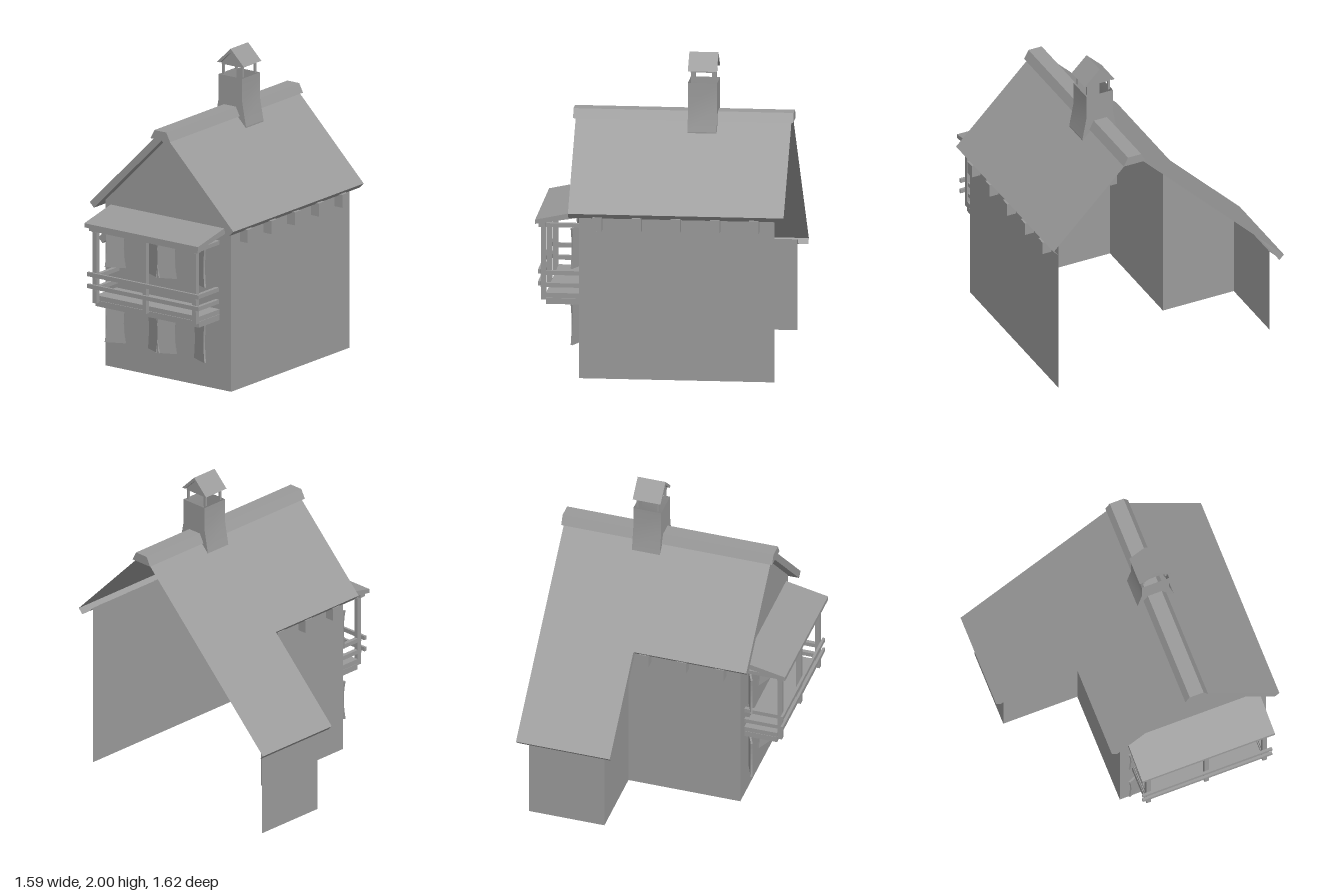
import * as THREE from 'three';

const grey = { color: 0x9a9a9a, side: THREE.DoubleSide };
const flatMat = new THREE.MeshStandardMaterial({ ...grey, flatShading: true });
const smoothMat = new THREE.MeshStandardMaterial(grey);

function add(parent, name, geometry, material = flatMat) {
  const mesh = new THREE.Mesh(geometry, material);
  mesh.name = name;
  parent.add(mesh);
  return mesh;
}

function addGroup(parent, name) {
  const group = new THREE.Group();
  group.name = name;
  parent.add(group);
  return group;
}

// Box given by its limits on each axis
function box(parent, name, x0, x1, y0, y1, z0, z1) {
  const g = new THREE.BoxGeometry(x1 - x0, y1 - y0, z1 - z0);
  g.translate((x0 + x1) / 2, (y0 + y1) / 2, (z0 + z1) / 2);
  return add(parent, name, g);
}

const shapeOf = (pts) => new THREE.Shape(pts.map(([a, b]) => new THREE.Vector2(a, b)));

// Profile of [z, y] points extruded from x0 to x1
function prism(parent, name, pts, x0, x1) {
  const g = new THREE.ExtrudeGeometry(shapeOf(pts), { depth: x1 - x0, bevelEnabled: false });
  g.rotateY(-Math.PI / 2).translate(x1, 0, 0);
  return add(parent, name, g);
}

// Thin face of [z, y] points looking towards -x
function sideFace(parent, name, pts, x) {
  return add(parent, name, new THREE.ShapeGeometry(shapeOf(pts)).rotateY(-Math.PI / 2).translate(x, 0, 0));
}

// Thin wall facing front or back
function crossWall(parent, name, x0, x1, height, z) {
  const g = new THREE.PlaneGeometry(x1 - x0, height);
  if (z < 0) g.rotateY(Math.PI);
  return add(parent, name, g.translate((x0 + x1) / 2, height / 2, z));
}

// Open sheet: a line of [z, y] points, front to back, swept from x0 to x1
function sheet(parent, name, pts, x0, x1) {
  const pos = pts.flatMap(([z, y]) => [x0, y, z, x1, y, z]);
  const index = [];
  for (let a = 0; a < pts.length * 2 - 2; a += 2) index.push(a, a + 1, a + 3, a, a + 3, a + 2);
  const g = new THREE.BufferGeometry();
  g.setAttribute('position', new THREE.Float32BufferAttribute(pos, 3));
  g.setIndex(index);
  const flat = g.toNonIndexed();
  flat.computeVertexNormals();
  return add(parent, name, flat);
}

// Inverted V of even thickness with 45 degree slopes
function gableProfile(ridgeZ, ridgeY, frontZ, backZ, t) {
  const y = (z) => ridgeY - Math.abs(z - ridgeZ);
  return [
    [frontZ, y(frontZ)], [ridgeZ, ridgeY], [backZ, y(backZ)],
    [backZ + t, y(backZ) - t], [ridgeZ, ridgeY - 2 * t], [frontZ - t, y(frontZ) - t],
  ];
}

// Walls: the right side is open
function buildWalls(house) {
  const walls = addGroup(house, 'walls');
  crossWall(walls, 'frontWall', -0.515, 0.716, 1.07, 0.74);
  crossWall(walls, 'mainBackWall', -0.515, 0.22, 1.08, -0.243);
  crossWall(walls, 'wingBackWall', 0.22, 0.716, 0.583, -0.74);
  sideFace(walls, 'gableWall', [[0.74, 0], [0.74, 1.07], [0.243, 1.566], [-0.243, 1.08], [-0.243, 0]], -0.515);
  sideFace(walls, 'wingSideWall', [[-0.243, 0], [-0.243, 1.08], [-0.74, 0.583], [-0.74, 0]], 0.22);
}

// Roof: a top skin with turned eaves, a verge on the left and soffits only where it overhangs
function buildRoof(house) {
  const roof = addGroup(house, 'roof');
  const sections = [
    { x0: -0.578, x1: 0.163, wallX: -0.515, endX: 0.22, eaveZ: -0.32, wallZ: -0.243 },
    { x0: 0.163, x1: 0.779, wallX: 0.22, endX: 0.716, eaveZ: -0.81, wallZ: -0.74 },
  ];
  for (const { x0, x1, endX, eaveZ, wallZ } of sections) {
    const [front, ridge, back, backIn, , frontIn] = gableProfile(0.243, 1.63, 0.805, eaveZ, 0.032);
    sheet(roof, 'roofSkin', [frontIn, front, ridge, back, backIn], x0, x1);
    sheet(roof, 'frontSoffit', [[0.74, 1.069], frontIn], x0, Math.min(x1, endX));
    sheet(roof, 'backSoffit', [backIn, [wallZ, 1.323 + wallZ]], x0, Math.min(x1, endX));
  }
  const verge = gableProfile(0.243, 1.63, 0.805, -0.32, 0.032);
  sideFace(roof, 'gableVerge', verge, -0.578);
  sheet(roof, 'gableSoffit', [verge[5], verge[4], verge[3]], -0.578, -0.515);
  const wingEdge = [[-0.288, 1.035], [-0.778, 0.545]];
  sideFace(roof, 'wingVerge', [[-0.32, 1.067], [-0.81, 0.577], wingEdge[1], wingEdge[0]], 0.163);
  sheet(roof, 'wingSoffit', wingEdge, 0.163, 0.22);
  prism(roof, 'ridgeCap', [[0.32, 1.572], [0.29, 1.63], [0.197, 1.63], [0.167, 1.572]], -0.593, 0.792);
  // Beam ends under the eaves
  [-0.395, -0.147, 0.098, 0.345, 0.59].forEach((x, i) => {
    box(roof, 'frontBeamEnd', x - 0.03, x + 0.03, 0.96, 1.045, 0.74, 0.802);
    if (i < 3) box(roof, 'backBeamEnd', x - 0.03, x + 0.03, 0.96, 1.045, -0.305, -0.243);
  });
}

// Open square tube through rings of [height, half depth], smooth up each side
function squareTube(parent, name, x0, x1, mid, rings) {
  const pos = [], index = [];
  const corners = [[x0, 1], [x1, 1], [x1, -1], [x0, -1]];
  corners.forEach((from, k) => {
    rings.forEach(([y, d], r) => {
      const a = pos.length / 3;
      for (const [x, s] of [from, corners[(k + 1) % 4]]) pos.push(x, y, mid + s * d);
      if (r < rings.length - 1) index.push(a, a + 1, a + 3, a, a + 3, a + 2);
    });
  });
  const g = new THREE.BufferGeometry();
  g.setAttribute('position', new THREE.Float32BufferAttribute(pos, 3));
  g.setIndex(index);
  g.computeVertexNormals();
  add(parent, name, g, smoothMat);
}

function buildChimney(house) {
  const chimney = addGroup(house, 'chimney');
  const [x0, x1, mid] = [0.132, 0.315, 0.248];
  squareTube(chimney, 'flueBase', x0, x1, mid, [[1.11, 0.121], [1.512, 0.121]]);
  squareTube(chimney, 'flue', x0, x1, mid, [[1.512, 0.121], [1.665, 0.092], [1.82, 0.092]]);
  // Little closed roof on four posts joined by beams
  for (const x of [0.15, 0.283]) {
    for (const z of [mid - 0.08, mid + 0.066]) box(chimney, 'capPost', x, x + 0.014, 1.82, 1.89, z, z + 0.014);
  }
  box(chimney, 'capBeam', 0.148, 0.299, 1.885, 1.9, mid - 0.082, mid + 0.082);
  prism(chimney, 'capFill', [[mid + 0.082, 1.9], [mid, 1.975], [mid - 0.082, 1.9]], x0 + 0.016, x1 - 0.016);
  prism(chimney, 'chimneyCap', [
    [mid + 0.105, 1.897], [mid, 2], [mid - 0.105, 1.897], [mid - 0.08, 1.897], [mid, 1.975], [mid + 0.08, 1.897],
  ], x0, x1);
}

function buildBalcony(house) {
  const balcony = addGroup(house, 'balcony');
  const [z0, z1] = [-0.16, 0.65];
  box(balcony, 'floorBeam', -0.73, -0.515, 0.452, 0.49, z0, z1);
  box(balcony, 'floor', -0.73, -0.515, 0.492, 0.523, z0, z1);
  // Sloping lean-to roof
  const slope = shapeOf([[-0.795, 0.973], [-0.51, 1.02], [-0.52, 1.058], [-0.795, 1.0]]);
  add(balcony, 'balconyRoof',
    new THREE.ExtrudeGeometry(slope, { depth: 0.89, bevelEnabled: false }).translate(0, 0, -0.2));
  box(balcony, 'roofBeam', -0.775, -0.735, 0.95, 0.98, z0 - 0.02, z1 + 0.02);
  for (const z of [z0, 0.23, z1 - 0.03]) box(balcony, 'post', -0.762, -0.732, 0.48, 0.975, z, z + 0.03);
  for (const z of [z0, z1 - 0.03]) {
    box(balcony, 'endRoofBeam', -0.775, -0.515, 0.945, 0.97, z, z + 0.03);
    for (const y of [0.558, 0.637]) box(balcony, 'endRail', -0.765, -0.515, y, y + 0.027, z, z + 0.025);
  }
  for (const y of [0.575, 0.652]) box(balcony, 'longRail', -0.778, -0.762, y, y + 0.027, z0 - 0.03, z1 + 0.03);
}

// Shutters with gently waisted outlines, standing ajar on both sides of each window
function buildShutters(house) {
  const w = 0.135, h = 0.26, waist = 0.012;
  const outline = new THREE.Shape();
  outline.moveTo(0, 0);
  outline.lineTo(w, 0);
  outline.quadraticCurveTo(w - waist * 2, h / 2, w, h);
  outline.lineTo(0, h);
  outline.quadraticCurveTo(waist * 2, h / 2, 0, 0);
  const geometry = new THREE.ExtrudeGeometry(outline, { depth: 0.012, bevelEnabled: false, curveSegments: 6 });
  geometry.translate(0, 0, -0.006);
  for (const y of [0.175, 0.665]) {
    for (const [a, b] of [[-0.08, 0.1], [0.32, 0.46]]) {
      [[a, -1], [b, 1]].forEach(([z, dir]) => {
        const shutter = add(house, 'shutter', geometry);
        shutter.position.set(-0.522, y, z);
        shutter.rotation.y = -dir * (Math.PI / 2 + 0.42);
      });
    }
  }
}

export function createModel() {
  const house = new THREE.Group();
  house.name = 'house';
  buildWalls(house);
  buildRoof(house);
  buildChimney(house);
  buildBalcony(house);
  buildShutters(house);
  return house;
}
